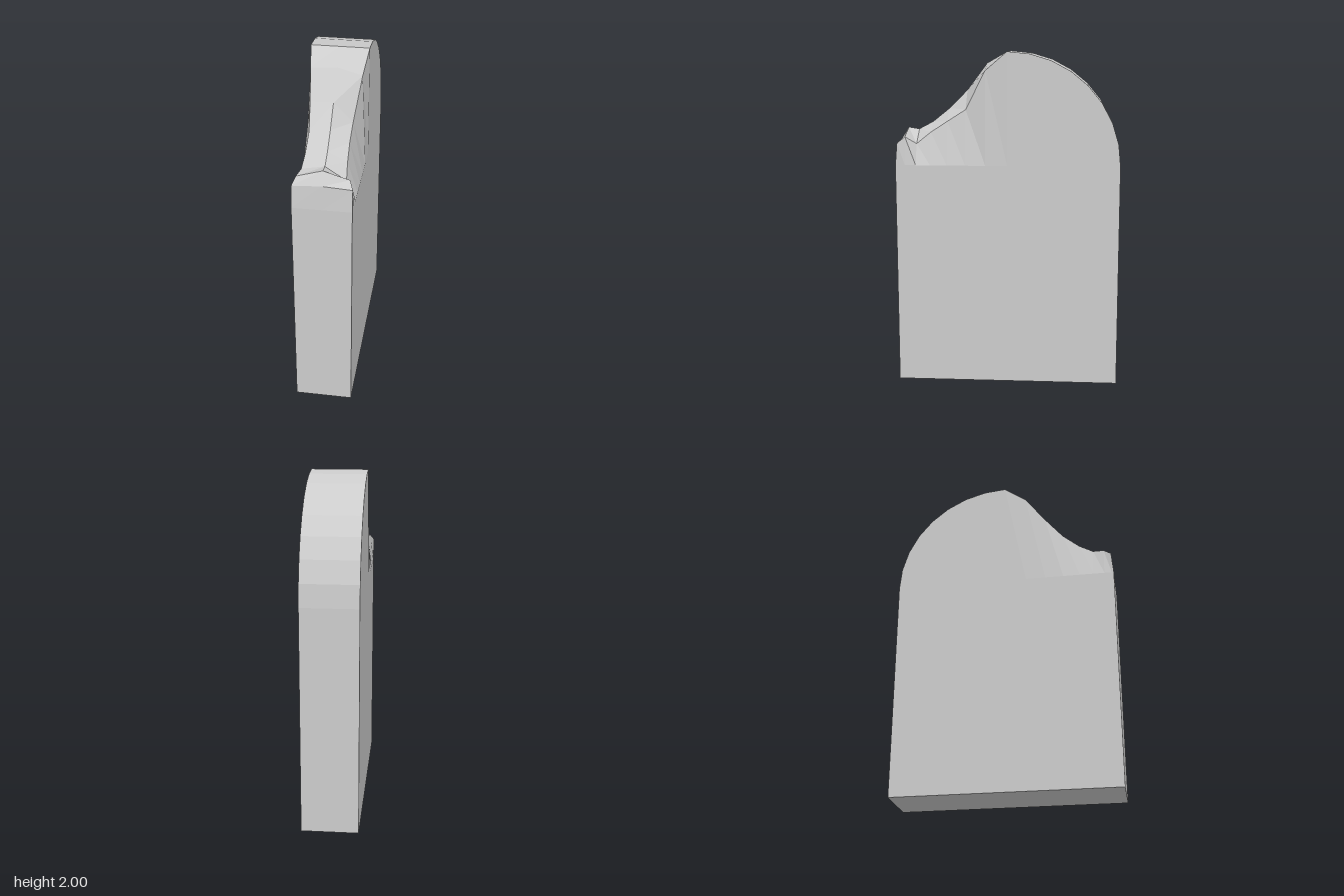
import * as THREE from 'three';

const HALF = 1 / 6;      // half thickness
const R = 2 / 3;         // radius of the rounded top
const SHOULDER = 4 / 3;  // height where the rounding starts

// Slab with the unbroken quarter-round at the back
function slabGeometry() {
  const shape = new THREE.Shape();
  shape.moveTo(-R, 0);
  shape.lineTo(R, 0);
  shape.lineTo(R, SHOULDER);
  shape.lineTo(0, SHOULDER);
  for (let i = 0; i <= 8; i++) {
    const a = (i / 8) * Math.PI / 2;
    shape.lineTo(-R * Math.sin(a), SHOULDER + R * Math.cos(a));
  }
  const geo = new THREE.ExtrudeGeometry(shape, { depth: 2 * HALF, bevelEnabled: false });
  geo.rotateY(-Math.PI / 2);
  geo.translate(HALF, 0, 0);
  return geo;
}

// Broken front shoulder, lofted through cross-sections from the peak forward
function brokenGeometry() {
  // z, right-edge x, right-edge y, ridge y, left-edge x, left-edge y
  const sections = [
    [0, -HALF, 2, 2, HALF, 2],
    [0.13, -0.147, 1.92, 1.93, 0.145, 1.89],
    [0.25, -0.13, 1.77, 1.77, 0.11, 1.66],
    [0.36, -0.118, 1.645, 1.66, 0.107, 1.59],
    [0.46, -0.123, 1.56, 1.58, 0.11, 1.525],
    [0.545, -0.13, 1.51, 1.535, 0.117, 1.457],
    [0.61, -0.148, 1.50, 1.545, 0.147, 1.50],
    [0.655, -HALF, 1.465, 1.475, HALF, 1.465],
    [R, -HALF, SHOULDER, SHOULDER, HALF, SHOULDER],
  ].map(([z, xr, yr, ridge, xl, yl]) => [
    [-HALF, SHOULDER], [xr, yr], [0, ridge], [xl, yl], [HALF, SHOULDER],
  ].map(([x, y]) => new THREE.Vector3(x, y, z)));

  const points = [];
  const addTriangle = (a, b, c) => {
    if (new THREE.Triangle(a, b, c).getArea() > 1e-7) points.push(a, b, c);
  };
  for (let j = 0; j < sections.length - 1; j++) {
    const s = sections[j], t = sections[j + 1];
    for (let i = 0; i < 4; i++) {
      addTriangle(s[i], t[i], s[i + 1]);
      addTriangle(s[i + 1], t[i], t[i + 1]);
    }
  }
  const geo = new THREE.BufferGeometry().setFromPoints(points);
  geo.computeVertexNormals();
  return geo;
}

export function createModel() {
  const group = new THREE.Group();
  group.name = 'brokenGravestone';
  const stone = new THREE.MeshStandardMaterial({ color: 0xcccccc, flatShading: true });
  const add = (name, geo) => {
    const mesh = new THREE.Mesh(geo, stone);
    mesh.name = name;
    group.add(mesh);
  };
  add('slab', slabGeometry());
  add('brokenShoulder', brokenGeometry());
  return group;
}
